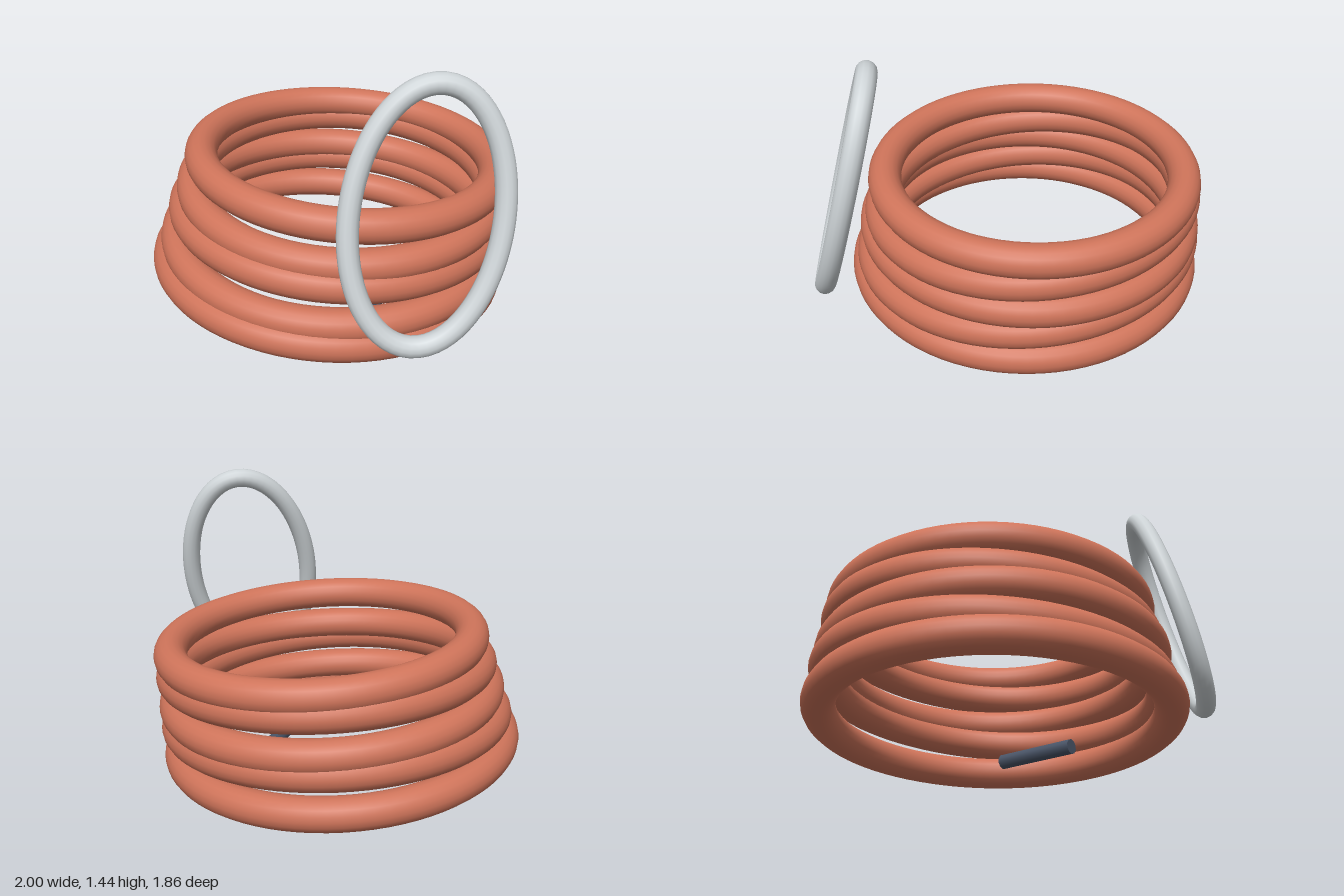
import * as THREE from 'three';

function material(name, color) {
  const m = new THREE.MeshStandardMaterial({ color });
  m.name = name;
  return m;
}

export function createModel() {
  const model = new THREE.Group();
  model.name = 'coiledRope';
  const terracotta = material('terracotta', 0xcf745a);
  const silver = material('silver', 0xcdd3d6);
  const slate = material('slate', 0x4a5568);

  const add = (name, geometry, mat) => {
    const mesh = new THREE.Mesh(geometry, mat);
    mesh.name = name;
    model.add(mesh);
    return mesh;
  };

  // Stacked rope loops: each smaller, shifted back and rocked the other way
  for (let i = 0; i < 5; i++) {
    const loop = new THREE.TorusGeometry(0.847 - 0.021 * i, 0.083, 18, 80).rotateX(Math.PI / 2);
    const mesh = add('ropeLoop' + (i + 1), loop, terracotta);
    mesh.position.set(-0.07 + 0.022 * i, 0.14 + 0.139 * i, -0.02 * i);
    mesh.rotation.set(i % 2 ? 0.04 : -0.03, 0, -0.062);
  }

  // Oval metal ring leaning against the coil
  const across = new THREE.Vector3(0.3125, -0.041, -0.122);
  const upward = new THREE.Vector3(0.015, 0.563, -0.165);
  const points = [];
  for (let i = 0; i < 32; i++) {
    const a = (i / 32) * Math.PI * 2;
    points.push(new THREE.Vector3(0.636, 0.825, 0.673)
      .addScaledVector(across, Math.cos(a))
      .addScaledVector(upward, Math.sin(a)));
  }
  const oval = new THREE.CatmullRomCurve3(points, true);
  add('ovalRing', new THREE.TubeGeometry(oval, 80, 0.05, 14, true), silver);

  // Short bar lying on the ground inside the coil
  const bar = add('bar', new THREE.CylinderGeometry(0.038, 0.038, 0.44, 10).rotateX(Math.PI / 2), slate);
  bar.position.set(0.309, 0.038, 0.025);
  bar.rotation.y = -0.17;

  return model;
}
